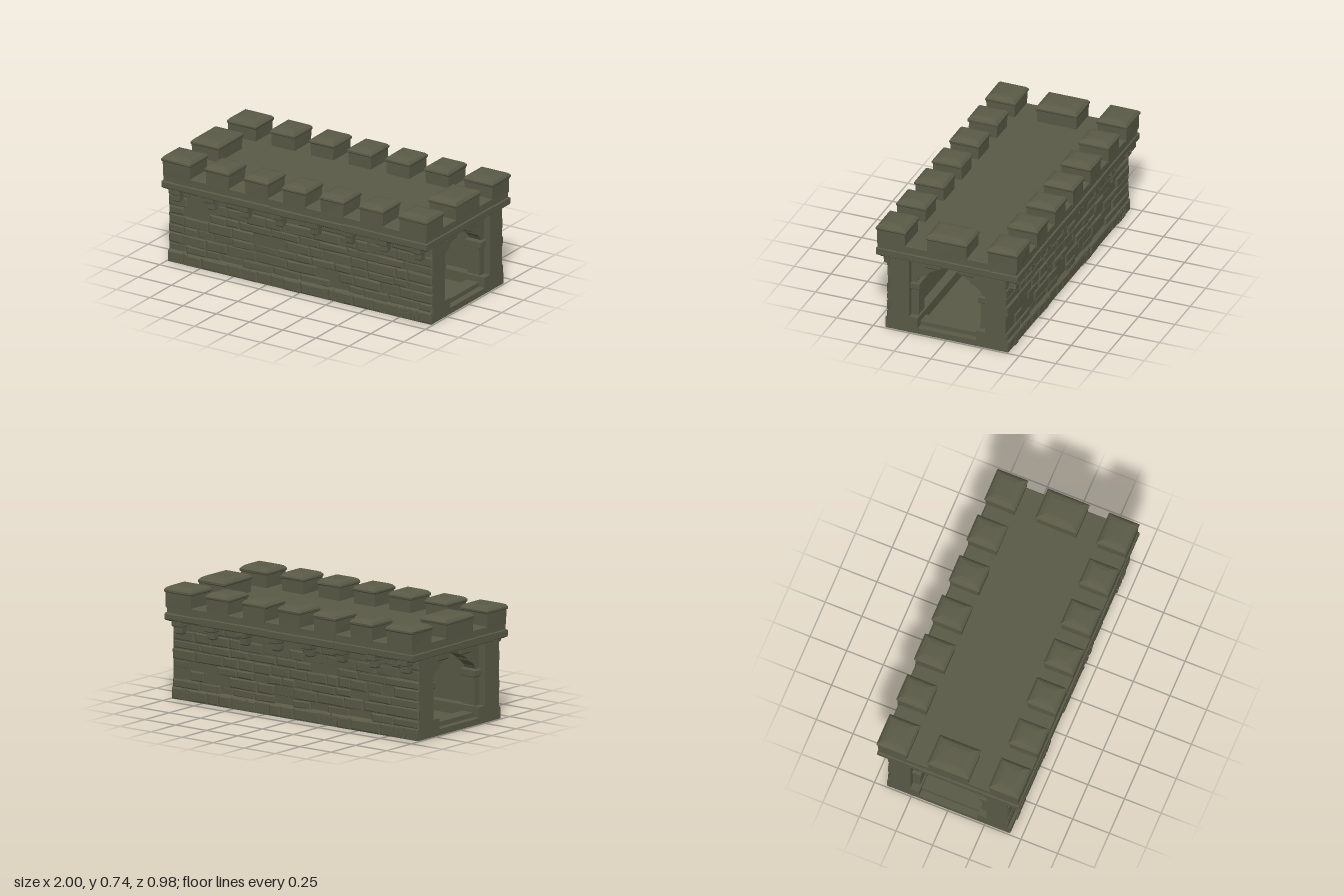
import * as THREE from 'three';
import { mergeGeometries } from 'three/addons/utils/BufferGeometryUtils.js';

const stone = new THREE.MeshStandardMaterial({ color: 0x5a5a47 });
stone.name = 'mossy stone';
const metal = new THREE.MeshStandardMaterial({ color: 0x74746a });
metal.name = 'grey metal';

let seed = 7;
const rand = () => (seed = (seed * 16807) % 2147483647) / 2147483647;
const vary = (a) => (rand() * 2 - 1) * a;

// Stack of rectangles [y, halfX, halfZ] joined into a faceted solid, corners roughened by jitter
function loft(levels, jitter = 0) {
  const rings = levels.map(([y, hx, hz]) =>
    [[-1, -1], [-1, 1], [1, 1], [1, -1]].map(([sx, sz]) =>
      [sx * hx + vary(jitter), y, sz * hz + vary(jitter)]));
  const pos = [];
  const quad = (a, b, c, d) => [a, b, c, a, c, d].forEach((p) => pos.push(...p));
  for (let r = 0; r < rings.length - 1; r++) {
    for (let i = 0; i < 4; i++) {
      const j = (i + 1) % 4;
      quad(rings[r][i], rings[r][j], rings[r + 1][j], rings[r + 1][i]);
    }
  }
  quad(...rings[rings.length - 1]);
  quad(...[...rings[0]].reverse());
  const geo = new THREE.BufferGeometry();
  geo.setAttribute('position', new THREE.Float32BufferAttribute(pos, 3));
  geo.computeVertexNormals();
  return geo;
}

// Slightly chamfered block from its limits
function block(x0, x1, y0, y1, z0, z1, c = 0.006, jitter = 0) {
  const hx = (x1 - x0) / 2, hz = (z1 - z0) / 2;
  return loft([[y0, hx - c, hz - c], [y0 + c, hx, hz], [y1 - c, hx, hz], [y1, hx - c, hz - c]], jitter)
    .translate((x0 + x1) / 2, 0, (z0 + z1) / 2);
}

// Outline in z and y, extruded along x
function extrudeX(shape, depth) {
  return new THREE.ExtrudeGeometry(shape, { depth, bevelEnabled: false })
    .translate(0, 0, -depth / 2).rotateY(Math.PI / 2);
}

function outline(Type, points) {
  return new Type(points.map(([x, y]) => new THREE.Vector2(x, y)));
}

// Half outline mirrored into a closed one
const mirrored = (half) => [...half, ...half.map(([x, y]) => [-x, y]).reverse()];

// Courses of irregular stones on the wall facing +z
function rubbleWall() {
  const parts = [];
  const rows = [0, 0.075, 0.13, 0.2, 0.255, 0.325, 0.38, 0.45, 0.515];
  for (let r = 0; r < rows.length - 1; r++) {
    const y0 = rows[r], y1 = rows[r + 1];
    let x = -0.992;
    while (x < 0.99) {
      let x1 = x + 0.09 + rand() * 0.15;
      if (x1 > 0.93) x1 = 0.992;
      const base = r === 0;
      const d = base ? 0.028 + rand() * 0.008 : 0.01 + rand() * 0.014;
      const w = (x1 - x) / 2, h = (y1 - y0) / 2;
      if (base || rand() > 0.12) {
        const g = loft([[0, w, h], [d - 0.005, w - 0.002, h - 0.003], [d, w - 0.012, h - 0.01]], 0.004);
        g.rotateX(Math.PI / 2).translate((x + x1) / 2, (y0 + y1) / 2, 0.393);
        const p = g.attributes.position;
        for (let i = 0; i < p.count; i++) {
          p.setX(i, THREE.MathUtils.clamp(p.getX(i), -0.993, 0.993));
          p.setY(i, Math.max(0, p.getY(i)));
        }
        g.computeVertexNormals();
        parts.push(g);
      }
      x = x1;
    }
  }
  return mergeGeometries(parts);
}

// Tufts of pointed blades along the foot of the wall
function grassTufts() {
  const parts = [];
  for (const cx of [-0.86, -0.4, 0.24, 0.3, 0.8, 0.85]) {
    for (let i = 0; i < 7; i++) {
      const h = 0.04 + rand() * 0.05;
      parts.push(loft([[0, 0.005, 0.003], [h * 0.6, 0.004, 0.003], [h, 0.0006, 0.0006]])
        .rotateZ(vary(0.45)).translate(cx + vary(0.04), 0.005, 0.427));
    }
  }
  return mergeGeometries(parts);
}

export function createModel() {
  const model = new THREE.Group();
  model.name = 'crenellatedGatehouse';
  const add = (name, geo, parent = model, mat = stone) => {
    const mesh = new THREE.Mesh(geo, mat);
    mesh.name = name;
    parent.add(mesh);
    return mesh;
  };

  // Hollow body with the passage running through it
  const body = outline(THREE.Shape, mirrored([[0.42, 0], [0.42, 0.07], [0.402, 0.085], [0.402, 0.52]]));
  body.holes.push(outline(THREE.Path, mirrored([[0.2, 0.04], [0.2, 0.11], [0.26, 0.11], [0.26, 0.515]])));
  add('hollowBody', extrudeX(body, 1.98));

  // Arched frame with columns and stepped brackets near each end
  const arch = [[0.2, 0.07], [0.2, 0.11], [0.21, 0.115], [0.21, 0.295], [0.2, 0.3], [0.2, 0.342], [0.225, 0.348],
    [0.215, 0.37], [0.18, 0.4], [0.145, 0.415], [0.14, 0.43], [0.1, 0.455], [0.065, 0.465],
    [0.055, 0.475], [0.05, 0.49], [0.025, 0.5], [0.02, 0.512]];
  for (const s of [-1, 1]) {
    const frame = new THREE.Group();
    frame.name = s > 0 ? 'leftArch' : 'rightArch';
    frame.position.x = s * 0.9;
    const shape = outline(THREE.Shape, mirrored([[0.265, 0.03], [0.265, 0.52]]));
    shape.holes.push(outline(THREE.Path, mirrored(arch)));
    add('archFrame', extrudeX(shape, 0.09), frame);
    for (const z of [-0.232, 0.232]) {
      add('capital', block(-0.06, 0.06, 0.297, 0.345, z - 0.032, z + 0.032), frame);
    }
    for (const z of [-1, 1]) {
      add('bracket', block(-0.055, 0.055, 0.465, 0.514, z * 0.115 - 0.055, z * 0.115 + 0.055, 0.008), frame);
    }
    model.add(frame);
  }

  // Roof deck
  add('roofDeck', block(-0.988, 0.988, 0.513, 0.617, -0.474, 0.474, 0.004));

  // Long walls: rubble, grass, ledge and corbels
  const merlons = [[-1, -0.78], [-0.675, -0.49], [-0.38, -0.195], [-0.093, 0.087],
    [0.19, 0.375], [0.485, 0.67], [0.78, 1]];
  const ledgeCuts = [-0.998, -0.72, -0.5, -0.18, 0.07, 0.36, 0.62, 0.998];
  const corbels = [-0.91, -0.65, -0.39, -0.135, 0.13, 0.39, 0.65, 0.91];
  for (const s of [1, -1]) {
    const side = new THREE.Group();
    side.name = s > 0 ? 'frontSide' : 'backSide';
    side.rotation.y = s > 0 ? 0 : Math.PI;
    add('rubbleStones', rubbleWall(), side);
    add('grass', grassTufts(), side);
    for (let i = 0; i < ledgeCuts.length - 1; i++) {
      add('ledgeSlab', block(ledgeCuts[i], ledgeCuts[i + 1], 0.519 + vary(0.003), 0.566 + vary(0.003),
        0.36, 0.485 + vary(0.003), 0.005), side);
    }
    for (const x of corbels) {
      add('corbelTop', block(x - 0.038, x + 0.038, 0.482, 0.525, 0.39, 0.478, 0.006, 0.002), side);
      add('corbelFoot', block(x - 0.028, x + 0.028, 0.43, 0.488, 0.39, 0.452, 0.008, 0.002), side);
    }
    model.add(side);
  }

  // Ledge across both ends
  const endCuts = [-0.48, -0.3, 0.02, 0.34, 0.48];
  for (const s of [1, -1]) {
    for (let i = 0; i < endCuts.length - 1; i++) {
      add('endLedgeSlab', block(s * 0.95 - 0.049, s * 0.95 + 0.049, 0.519 + vary(0.003), 0.566 + vary(0.003),
        endCuts[i], endCuts[i + 1], 0.004));
    }
  }

  // Merlons with rounded, overhanging caps
  const merlon = (x0, x1, z0, z1) => {
    const hx = (x1 - x0) / 2, hz = (z1 - z0) / 2;
    const group = new THREE.Group();
    group.name = 'merlon';
    group.position.set((x0 + x1) / 2, 0, (z0 + z1) / 2);
    add('merlonBody', loft([[0.6, hx - 0.008, hz - 0.008], [0.705, hx - 0.006, hz - 0.006]], 0.002), group);
    add('merlonCap', loft([[0.698, hx - 0.004, hz - 0.004], [0.705, hx, hz], [0.716, hx, hz],
      [0.731, hx - 0.012, hz - 0.014], [0.739, hx - 0.026, hz - 0.035], [0.743, hx - 0.05, hz - 0.06]], 0.0015), group);
    model.add(group);
  };
  for (const [x0, x1] of merlons) {
    merlon(x0, x1, 0.277, 0.483);
    merlon(x0, x1, -0.487, -0.277);
  }
  merlon(0.787, 1, -0.143, 0.143);
  merlon(-1, -0.787, -0.143, 0.143);

  // Screw heads under the floor
  for (const x of [-0.88, 0, 0.88]) {
    for (const z of [-0.33, 0.33]) {
      add('floorScrew', new THREE.RingGeometry(0.008, 0.02, 16).rotateX(Math.PI / 2).translate(x, -0.001, z), model, metal);
    }
  }
  return model;
}
